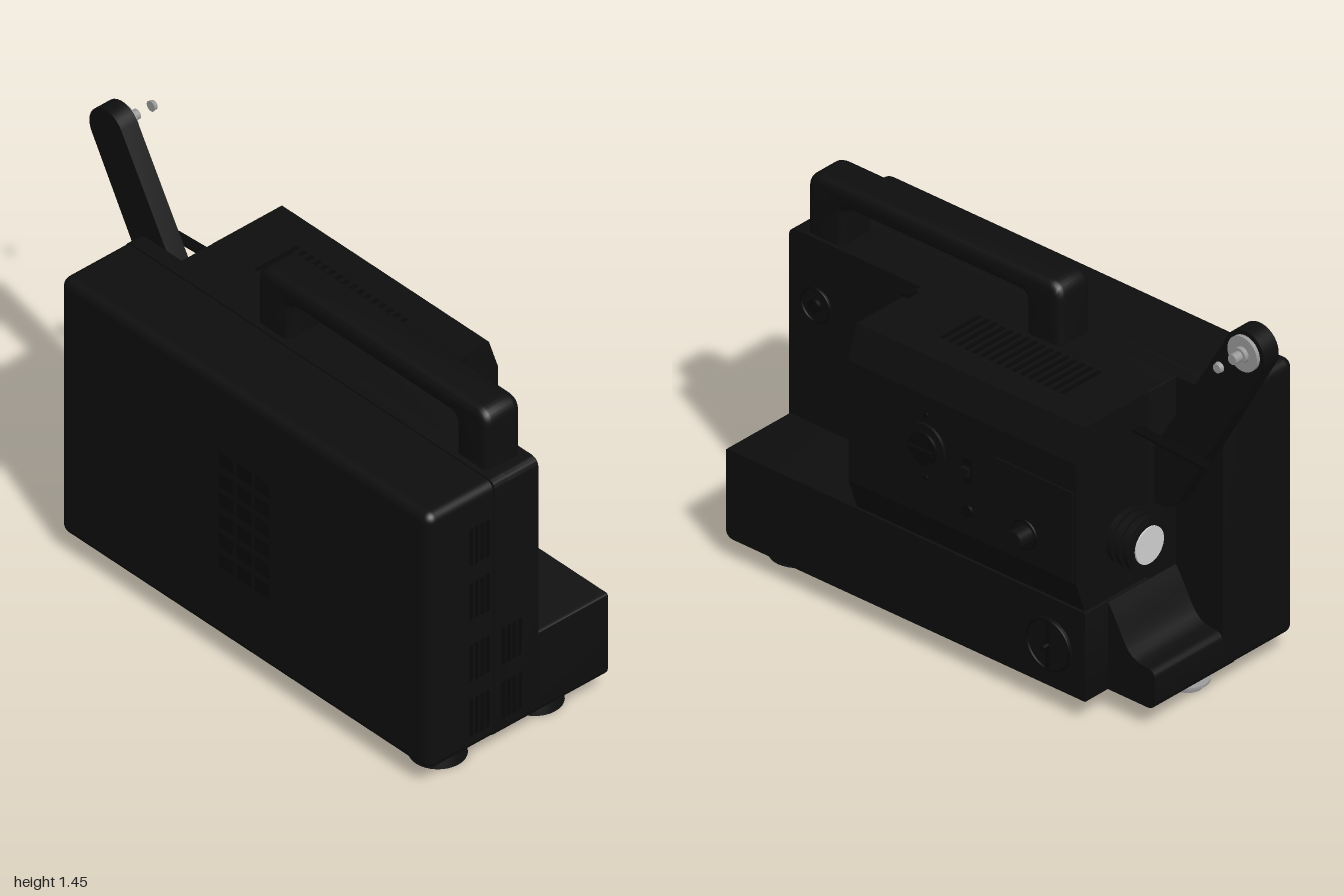
import * as THREE from 'three';
import { RoundedBoxGeometry } from 'three/addons/geometries/RoundedBoxGeometry.js';
import { toCreasedNormals } from 'three/addons/utils/BufferGeometryUtils.js';

export function createModel() {
  const root = new THREE.Group();
  root.name = 'filmProjector';
  const mat = (name, color) => Object.assign(new THREE.MeshStandardMaterial({ color }), { name });
  const black = mat('caseBlack', 0x0e0e0e);
  const dark = mat('detailBlack', 0x080808);
  const silver = mat('silver', 0x9a9a9a);
  const glass = mat('lensGlass', 0xd0d0d0);

  const add = (name, geo, material = black, x = 0, y = 0, z = 0) => {
    const m = new THREE.Mesh(geo, material);
    m.name = name;
    m.position.set(x, y, z);
    root.add(m);
    return m;
  };
  // Box given by its limits
  const box = (name, x0, x1, y0, y1, z0, z1, material = black) =>
    add(name, new THREE.BoxGeometry(x1 - x0, y1 - y0, z1 - z0), material,
      (x0 + x1) / 2, (y0 + y1) / 2, (z0 + z1) / 2);
  // Side profile (z, y) extruded across x
  const across = (name, shape, x0, x1, material = black, bevel = 0) => {
    const g = new THREE.ExtrudeGeometry(shape, {
      depth: x1 - x0 - 2 * bevel, curveSegments: 8, bevelEnabled: bevel > 0,
      bevelSize: bevel, bevelThickness: bevel, bevelOffset: -bevel, bevelSegments: 5,
    });
    g.rotateY(-Math.PI / 2).translate(x1 - bevel, 0, 0);
    return add(name, toCreasedNormals(g, 0.6), material);
  };
  // Cylinder along x, from x0 to x1
  const rod = (name, r, x0, x1, y, z, material = black, r1 = r) => {
    const g = new THREE.CylinderGeometry(r1, r, x1 - x0, 32).rotateZ(-Math.PI / 2);
    return add(name, g, material, (x0 + x1) / 2, y, z);
  };
  const ring = (name, r, t, x, y, z, material = dark) =>
    add(name, new THREE.TorusGeometry(r, t, 8, 40).rotateY(Math.PI / 2), material, x, y, z);
  // Rounded rectangle with one radius per corner: bottom left, bottom right, top right, top left
  const rounded = (a, b, c, d, [bl, br, tr, tl]) => {
    const s = new THREE.Shape();
    s.moveTo(a + bl, b);
    s.lineTo(c - br, b); s.quadraticCurveTo(c, b, c, b + br);
    s.lineTo(c, d - tr); s.quadraticCurveTo(c, d, c - tr, d);
    s.lineTo(a + tl, d); s.quadraticCurveTo(a, d, a, d - tl);
    s.lineTo(a, b + bl); s.quadraticCurveTo(a, b, a + bl, b);
    return s;
  };
  const poly = pts => new THREE.Shape(pts.map(p => new THREE.Vector2(...p)));

  // Right-hand shell, rounded outside and cut flat at the seam
  const shell = new RoundedBoxGeometry(0.5, 1.01, 1.73, 5, 0.035).translate(-0.19, 0.585, 0.135);
  const p = shell.attributes.position;
  for (let i = 0; i < p.count; i++) p.setX(i, Math.min(p.getX(i), -0.163));
  add('rearShell', shell);
  across('seamCore', rounded(-0.72, 0.09, 0.99, 1.08, [0.03, 0.03, 0.03, 0.03]), -0.17, -0.15, dark);

  // Centre case, with its back corner cut away for the arm and lens
  across('centreCase', rounded(-0.73, 0.08, 1, 1.09, [0.035, 0.035, 0.035, 0.035]), -0.157, -0.1);
  across('centreWall', rounded(-0.53, 0.08, 1, 1.09, [0.002, 0.035, 0.035, 0.002]), -0.1, 0.03);
  across('lowerDeck', rounded(-0.53, 0.08, 1, 0.405, [0.002, 0.035, 0.01, 0.002]), 0.03, 0.328);

  // Swept toe below the lens
  const toe = new THREE.Shape();
  toe.moveTo(-0.53, 0.08);
  toe.lineTo(-0.53, 0.4);
  toe.bezierCurveTo(-0.6, 0.3, -0.6, 0.225, -0.69, 0.225);
  toe.quadraticCurveTo(-0.73, 0.225, -0.73, 0.19);
  toe.lineTo(-0.73, 0.115);
  toe.quadraticCurveTo(-0.73, 0.08, -0.695, 0.08);
  across('toe', toe, -0.1, 0.22);

  // Film housing with chamfered outer side
  const housing = new THREE.ExtrudeGeometry(poly([
    [0.03, 0.415], [0.33, 0.415], [0.37, 0.53], [0.37, 0.97], [0.33, 1.09], [0.03, 1.09],
  ]), { depth: 0.97, bevelEnabled: false });
  add('filmHousing', housing, black, 0, 0, -0.53);
  box('housingPanel', 0.37, 0.376, 0.535, 0.865, -0.52, -0.19);
  for (let i = 0; i < 16; i++) {
    const z = -0.34 + i * 0.034;
    box('topVent', 0.04, 0.22, 1.088, 1.094, z, z + 0.014, dark);
  }
  // Film entry parts
  box('filmChute', 0.035, 0.135, 0.965, 1.01, 0.43, 0.46);
  box('chuteTab', 0.067, 0.11, 1.01, 1.1, 0.42, 0.45, dark);
  for (const x of [0.06, 0.09, 0.14]) box('filmGuide', x - 0.012, x + 0.012, 0.83, 0.875, 0.44, 0.47, dark);
  const exit = box('rearFilmGuide', 0.067, 0.107, 0.968, 0.976, -0.845, -0.52, dark);
  exit.rotation.x = -0.06;

  // Carrying handle
  const grip = new THREE.Shape();
  grip.moveTo(-0.14, 1.06);
  grip.lineTo(0.01, 1.06);
  grip.lineTo(0.01, 1.2);
  grip.quadraticCurveTo(0.01, 1.23, 0.04, 1.23);
  grip.lineTo(0.76, 1.23);
  grip.quadraticCurveTo(0.79, 1.23, 0.79, 1.2);
  grip.lineTo(0.79, 1.06);
  grip.lineTo(0.94, 1.06);
  grip.lineTo(0.94, 1.25);
  grip.quadraticCurveTo(0.94, 1.312, 0.88, 1.312);
  grip.lineTo(-0.08, 1.312);
  grip.quadraticCurveTo(-0.14, 1.312, -0.14, 1.25);
  grip.closePath();
  across('handle', grip, -0.137, 0.015, black, 0.03);

  // Reel arm, a round-ended bar leaning back
  const arm = new THREE.Shape();
  arm.absarc(0, 0, 0.08, 0, Math.PI, false);
  arm.absarc(0, -0.72, 0.085, Math.PI, Math.PI * 2, false);
  const armMesh = across('reelArm', arm, -0.07, 0);
  armMesh.position.set(0, 1.375, -0.915);
  armMesh.rotation.x = -Math.PI / 6;
  rod('spindleDisc', 0.063, 0, 0.014, 1.375, -0.915, silver);
  rod('spindleCollar', 0.028, 0.014, 0.03, 1.375, -0.915, silver);
  rod('spindle', 0.018, 0.014, 0.062, 1.375, -0.915, silver);
  rod('spindleTip', 0.019, 0.12, 0.135, 1.375, -0.915, silver, 0.016);

  // Lens barrel with focus ribs and glass
  const barrel = (name, r, z0, z1, m) => add(name,
    new THREE.CylinderGeometry(r, r, z1 - z0, 40).rotateX(Math.PI / 2), m, 0.145, 0.62, (z0 + z1) / 2);
  barrel('lensBarrel', 0.085, -0.635, -0.52, black);
  for (const z of [-0.63, -0.595, -0.56]) barrel('lensRib', 0.095, z, z + 0.02, black);
  barrel('lensGlass', 0.066, -0.641, -0.63, glass);

  // Main selector knob
  rod('selectorBase', 0.085, 0.37, 0.38, 0.785, 0.11);
  rod('selectorKnob', 0.058, 0.38, 0.39, 0.785, 0.11, dark);
  box('selectorPointer', 0.39, 0.405, 0.775, 0.79, 0.06, 0.16, dark);
  for (const y of [0.67, 0.9]) rod('selectorMark', 0.01, 0.37, 0.374, y, 0.11, dark);
  // Slider and button
  box('sliderPlate', 0.37, 0.376, 0.72, 0.815, -0.09, -0.05, dark);
  box('slider', 0.376, 0.393, 0.755, 0.785, -0.085, -0.055);
  rod('button', 0.022, 0.37, 0.38, 0.62, -0.07, dark);
  // Focus knob
  ring('focusRing', 0.05, 0.005, 0.376, 0.635, -0.315);
  rod('focusKnob', 0.033, 0.37, 0.435, 0.635, -0.32);
  // Slotted dial on the deck
  rod('dial', 0.095, 0.32, 0.336, 0.235, -0.38);
  ring('dialRim', 0.09, 0.005, 0.336, 0.235, -0.38);
  box('dialBar', 0.33, 0.341, 0.15, 0.32, -0.39, -0.37, dark);
  rod('dialPin', 0.009, 0.336, 0.365, 0.235, -0.38, dark);
  // Round socket on the centre wall
  rod('socketPlate', 0.063, 0.03, 0.036, 0.85, 0.88);
  ring('socketRing', 0.06, 0.005, 0.036, 0.85, 0.88);
  rod('socketPin', 0.025, 0.036, 0.05, 0.85, 0.88, dark);

  // Front vents
  const vents = (x, w, rows) => rows.forEach(y => {
    for (let i = 0; i < 4; i++) {
      const a = x + (i + 0.2) * w / 4;
      box('frontVent', a, a + w * 0.15, y, y + 0.145, 0.997, 1.002, dark);
    }
  });
  vents(-0.27, 0.095, [0.14, 0.355, 0.6, 0.815]);
  vents(-0.132, 0.095, [0.14, 0.355]);
  // Side vents
  for (let r = 0; r < 6; r++) for (let c = 0; c < 3; c++) {
    const y = 0.36 + r * 0.08, z = 0.02 + c * 0.085;
    box('sideVent', -0.443, -0.438, y, y + 0.055, z, z + 0.065, dark);
  }

  // Rubber feet and adjustable screw foot
  for (const x of [-0.265, 0.15])
    add('rubberFoot', new THREE.CylinderGeometry(0.075, 0.095, 0.085, 32), black, x, 0.0425, 0.852);
  const foot = [[0, 0], [0.05, 0], [0.053, 0.018], [0.072, 0.022], [0.072, 0.03], [0.03, 0.036], [0, 0.036]];
  add('screwFoot', toCreasedNormals(
    new THREE.LatheGeometry(foot.map(q => new THREE.Vector2(...q)), 32), 0.5), silver, -0.068, 0, -0.61);
  add('screw', new THREE.CylinderGeometry(0.015, 0.015, 0.06, 16), silver, -0.068, 0.06, -0.61);
  for (const y of [0.045, 0.059, 0.073]) {
    const thread = add('screwThread', new THREE.TorusGeometry(0.018, 0.005, 6, 24), silver, -0.068, y, -0.61);
    thread.rotation.x = Math.PI / 2 + 0.15;
  }
  return root;
}
